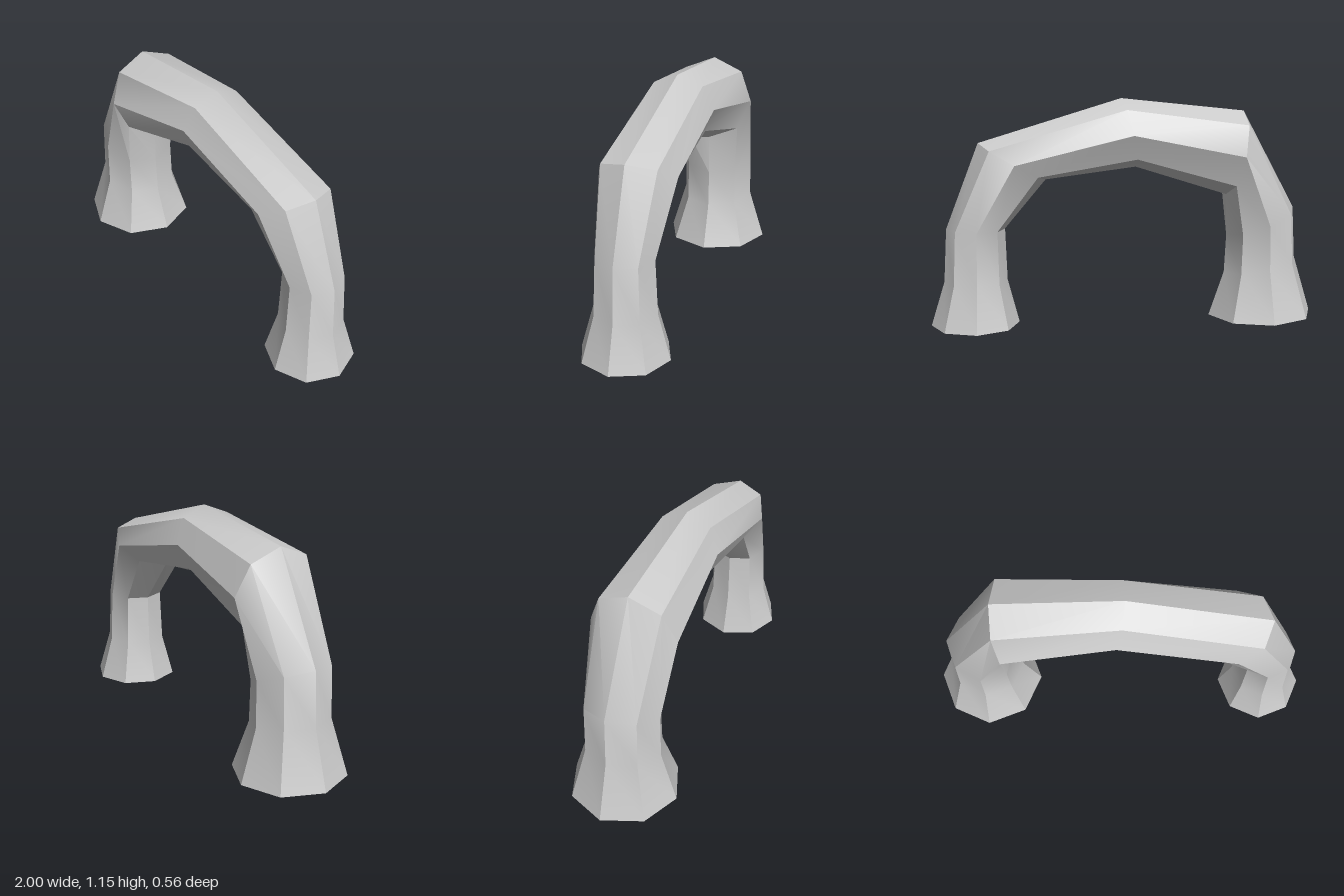
import * as THREE from 'three';
import { toCreasedNormals } from 'three/addons/utils/BufferGeometryUtils.js';

const SIDES = 8;

// Round cross-sections along the arch: outer x, y and inner x, y
const RINGS = [
  [-1.0, 0.007, -0.445, 0.0],
  [-0.91, 0.3, -0.525, 0.23],
  [-0.895, 0.57, -0.535, 0.43],
  [-0.617, 1.08, -0.53, 0.645],
  [0.025, 1.15, -0.05, 0.8],
  [0.747, 0.935, 0.412, 0.745],
  [0.914, 0.505, 0.62, 0.5],
  [0.93, 0.235, 0.612, 0.235],
  [1.0, 0.01, 0.555, 0.01],
];

// Open eight-sided tube lofted through the rings
function archGeometry() {
  const positions = [];
  const index = [];
  RINGS.forEach(([ox, oy, ix, iy], i) => {
    const hx = (ox - ix) / 2;
    const hy = (oy - iy) / 2;
    const radius = Math.hypot(hx, hy);
    for (let j = 0; j < SIDES; j++) {
      const angle = (j / SIDES) * Math.PI * 2;
      const c = Math.cos(angle);
      positions.push((ox + ix) / 2 + hx * c, (oy + iy) / 2 + hy * c, radius * Math.sin(angle));
      if (i === RINGS.length - 1) continue;
      const a = i * SIDES + j;
      const b = i * SIDES + ((j + 1) % SIDES);
      index.push(a, b, a + SIDES, b, b + SIDES, a + SIDES);
    }
  });
  const geometry = new THREE.BufferGeometry();
  geometry.setAttribute('position', new THREE.Float32BufferAttribute(positions, 3));
  geometry.setIndex(index);
  // Smooth along the length, sharp between the sides
  return toCreasedNormals(geometry, THREE.MathUtils.degToRad(32));
}

export function createModel() {
  const group = new THREE.Group();
  group.name = 'archModel';
  const material = new THREE.MeshStandardMaterial({ color: 0xcccccc, side: THREE.DoubleSide });
  const arch = new THREE.Mesh(archGeometry(), material);
  arch.name = 'arch';
  group.add(arch);
  return group;
}
